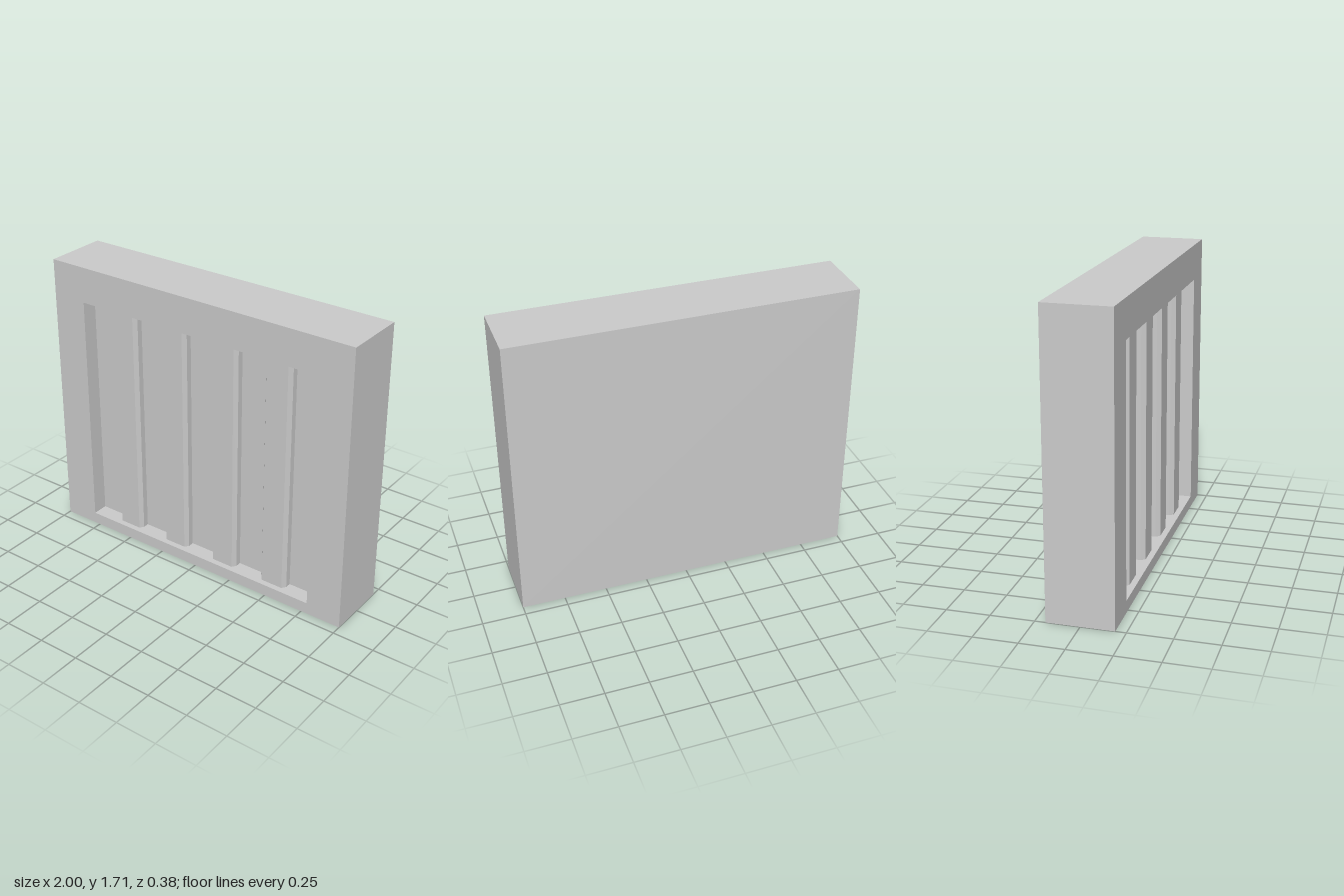
import * as THREE from 'three';

const W = 2, H = 1.71, D = 0.38;
const FLOOR = 0.095; // z of the recessed panel
const LEFT = -0.785, RIGHT = 0.785, BOTTOM = 0.07, TOP = 1.495; // opening

const material = new THREE.MeshStandardMaterial({ color: 0xcccccc, flatShading: true });

function polygon(Type, points) {
  return new Type(points.map(([x, y]) => new THREE.Vector2(x, y)));
}

function addPart(group, name, geometry) {
  const mesh = new THREE.Mesh(geometry, material);
  mesh.name = name;
  group.add(mesh);
  return mesh;
}

export function createModel() {
  const group = new THREE.Group();
  group.name = 'slattedPanel';

  // Solid back slab, its front forms the floor of the recess
  const backDepth = FLOOR + D / 2;
  const back = addPart(group, 'backPanel', new THREE.BoxGeometry(W, H, backDepth));
  back.position.set(0, H / 2, -D / 2 + backDepth / 2);

  // Front surround with the rectangular opening
  const surround = polygon(THREE.Shape, [[-W / 2, 0], [W / 2, 0], [W / 2, H], [-W / 2, H]]);
  surround.holes.push(polygon(THREE.Path, [[LEFT, BOTTOM], [LEFT, TOP], [RIGHT, TOP], [RIGHT, BOTTOM]]));
  const frame = addPart(group, 'frame',
    new THREE.ExtrudeGeometry(surround, { depth: D / 2 - FLOOR, bevelEnabled: false }));
  frame.position.z = FLOOR;

  // Four upright slats with chamfered front edges, extruded upwards
  const half = 0.085, proud = 0.06, cx = 0.017, cz = 0.025;
  const section = polygon(THREE.Shape, [
    [-half, 0], [-half, -proud + cz], [-half + cx, -proud],
    [half - cx, -proud], [half, -proud + cz], [half, 0],
  ]);
  const slatGeometry = new THREE.ExtrudeGeometry(section, { depth: TOP - BOTTOM, bevelEnabled: false });
  slatGeometry.rotateX(-Math.PI / 2);
  for (let i = 0; i < 4; i++) {
    const slat = addPart(group, `slat${i + 1}`, slatGeometry);
    slat.position.set((i - 1.5) * 0.349, BOTTOM, FLOOR);
  }

  return group;
}
